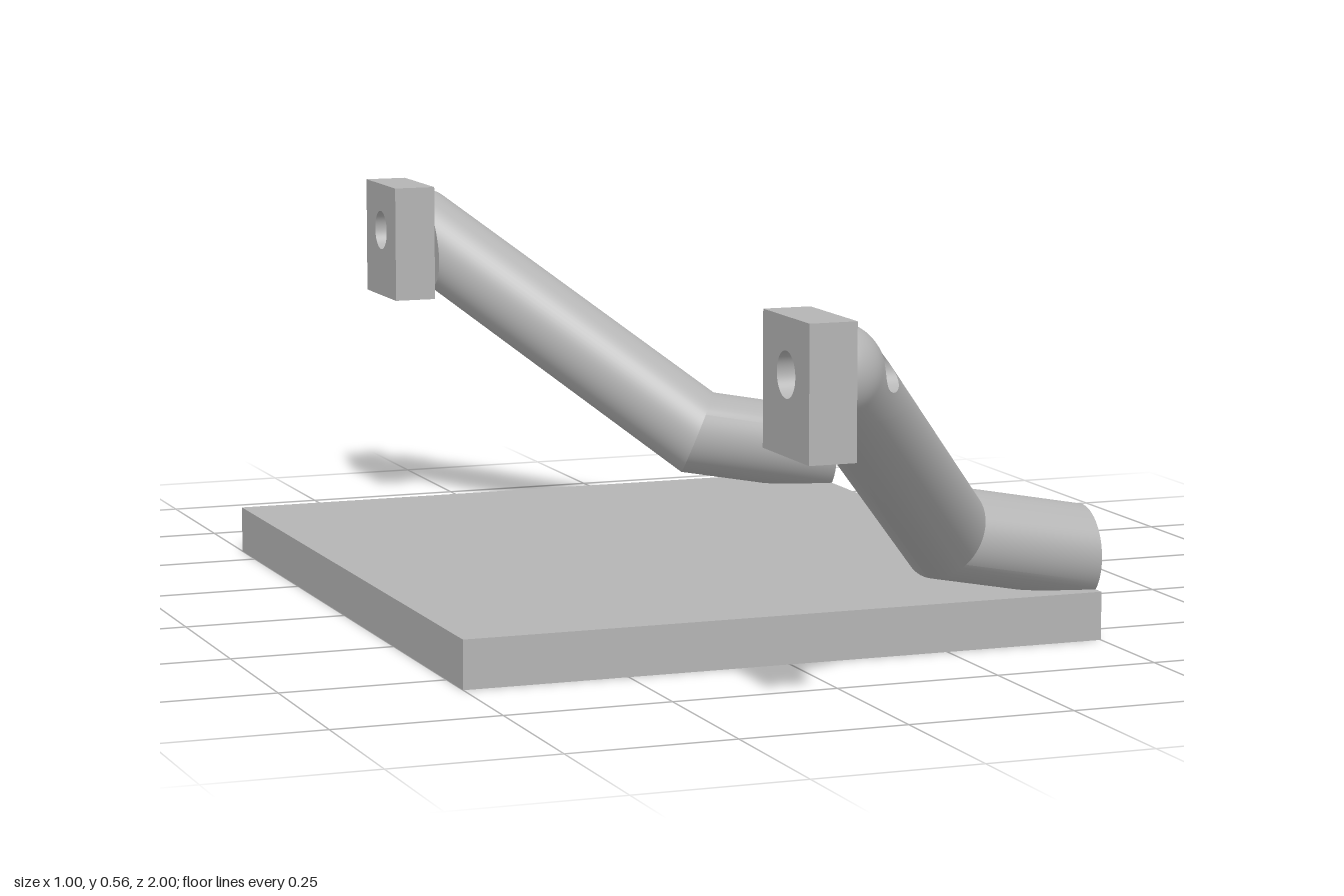
import * as THREE from 'three';
import { toCreasedNormals } from 'three/addons/utils/BufferGeometryUtils.js';

const grey = new THREE.MeshStandardMaterial({ color: 0xb4b4b4 });
grey.name = 'plainGrey';

const N = 64;          // sides of the round arm
const R = 0.07;        // arm radius
const BORE = 0.033;    // bolt hole radius
const FACE = -0.08;    // x of the plane where arm meets mounting block
const V = (x, y, z) => new THREE.Vector3(x, y, z);

function add(parent, name, geometry) {
  const mesh = new THREE.Mesh(geometry, grey);
  mesh.name = name;
  parent.add(mesh);
  return mesh;
}

// One ring of N points from a rule of the angle
const ring = (rule) => Array.from({ length: N }, (_, i) => rule((i / N) * Math.PI * 2));

// Joins successive closed rings with triangles, skipping collapsed ones
function skin(rings, out) {
  const tri = (a, b, c) => {
    const area = b.clone().sub(a).cross(c.clone().sub(a)).length();
    if (area > 1e-9) for (const p of [a, b, c]) out.push(p.x * 100, p.y * 100, p.z * 100);
  };
  for (let k = 0; k + 1 < rings.length; k++) {
    for (let i = 0; i < N; i++) {
      const j = (i + 1) % N;
      tri(rings[k][i], rings[k + 1][i], rings[k + 1][j]);
      tri(rings[k][i], rings[k + 1][j], rings[k][j]);
    }
  }
}

// Bent round arm: domed bolt end with a hole along x, mitred elbow, flat foot
function armGeometry(side) {
  const tip = V(FACE, 0.48, 0.918 * side);
  const elbow = V(0.275, 0.165, 0.505 * side);
  const foot = V(0.5, 0.123, 0.505 * side);
  const A = elbow.clone().sub(tip).normalize();
  const L = foot.clone().sub(elbow).normalize();
  const mitre = A.clone().add(L);

  // Local frame at the tip: x, p (down the arm seen along x), q (across)
  const ca = A.x, sa = Math.sqrt(1 - ca * ca);
  const P = V(0, A.y, A.z).normalize();
  const Q = V(1, 0, 0).cross(P);
  const at = (x, p, q) => V(tip.x + x, tip.y, tip.z).addScaledVector(P, p).addScaledVector(Q, q);

  // Height of the arm's outer face above the block plane
  const height = (p, q) => {
    const x = (Math.sqrt(Math.max(0, R * R - q * q)) + p * ca) / sa;
    return x * ca + p * sa >= 0 ? x : Math.sqrt(Math.max(0, R * R - p * p - q * q));
  };

  const out = [];
  // Flat back, bore wall, then the domed face out to its rim
  const rings = [
    ring((t) => at(0, R * Math.cos(t) / (Math.cos(t) > 0 ? ca : 1), R * Math.sin(t))),
    ring((t) => at(0, BORE * Math.cos(t), BORE * Math.sin(t))),
  ];
  const b0 = Math.asin(BORE / R);
  for (let k = 0; k <= 10; k++) {
    const r = R * Math.sin(b0 + (Math.PI / 2 - b0) * k / 10);
    rings.push(ring((t) => {
      const p = r * Math.cos(t), q = r * Math.sin(t);
      return at(height(p, q), p, q);
    }));
  }
  skin(rings, out);

  // Straight tube from the domed end to the elbow, then on to the foot
  const start = ring((t) => {
    const s = R * Math.cos(t), q = R * Math.sin(t);
    const d = s > 0 ? s * (1 + ca) / sa : -s * sa / ca;
    return at(d * ca + s * sa, d * sa - s * ca, q);
  });
  const bend = start.map((p) =>
    p.clone().addScaledVector(A, elbow.clone().sub(p).dot(mitre) / A.dot(mitre)));
  const end = bend.map((p) => p.clone().addScaledVector(L, (foot.x - p.x) / L.x));
  skin([start, bend, end, end.map(() => foot)], out);

  const g = new THREE.BufferGeometry();
  g.setAttribute('position', new THREE.Float32BufferAttribute(out, 3));
  return toCreasedNormals(g, 0.4).scale(0.01, 0.01, 0.01);
}

// Mounting block with a round hole through it along x
function blockGeometry(side) {
  const shape = new THREE.Shape();
  const [z0, z1, y0, y1] = [0.835, 1, 0.367, 0.56];
  // Shape x runs along -z so that the extrusion points along +x
  const u = [-side * z0, -side * z1].sort((a, b) => a - b);
  shape.moveTo(u[0], y0).lineTo(u[1], y0).lineTo(u[1], y1).lineTo(u[0], y1).closePath();
  const hole = new THREE.Path();
  hole.absarc(-side * 0.918, 0.48, BORE, 0, Math.PI * 2, true);
  shape.holes.push(hole);
  const g = new THREE.ExtrudeGeometry(shape, { depth: 0.07, bevelEnabled: false, curveSegments: 32 });
  g.rotateY(Math.PI / 2).translate(-0.15, 0, 0);
  return toCreasedNormals(g.scale(100, 100, 100), 0.6).scale(0.01, 0.01, 0.01);
}

export function createModel() {
  const model = new THREE.Group();
  model.name = 'bracketPlate';

  add(model, 'basePlate', new THREE.BoxGeometry(1, 0.073, 1.15)).position.y = 0.0365;

  for (const side of [1, -1]) {
    const arm = new THREE.Group();
    arm.name = side > 0 ? 'frontArm' : 'backArm';
    add(arm, 'bentArm', armGeometry(side));
    add(arm, 'mountingBlock', blockGeometry(side));
    model.add(arm);
  }
  return model;
}
